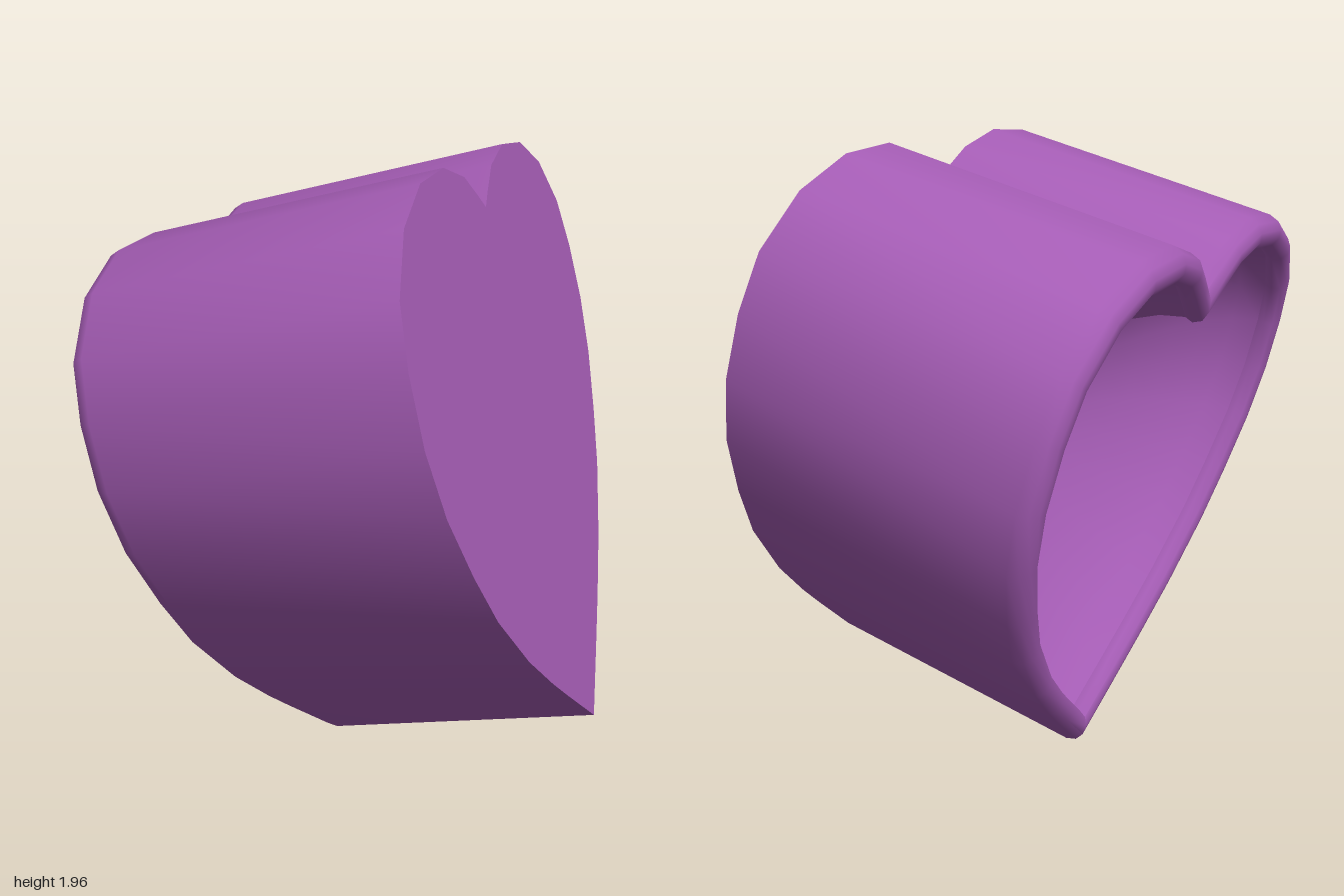
import * as THREE from 'three';
import { toCreasedNormals } from 'three/addons/utils/BufferGeometryUtils.js';

// Right half of the heart outline, from the bottom tip to just before the notch
const HALF = [
  [0.22, 0.185], [0.33, 0.28], [0.49, 0.43], [0.66, 0.63], [0.76, 0.80], [0.848, 0.99],
  [0.887, 1.18], [0.875, 1.37], [0.825, 1.535], [0.69, 1.685], [0.505, 1.77],
  [0.30, 1.785], [0.14, 1.74], [0.05, 1.675],
];
const CENTRE_Y = 0.95;

function heartOutline() {
  const right = HALF.map(([x, y]) => new THREE.Vector2(x, y));
  const left = HALF.map(([x, y]) => new THREE.Vector2(-x, y)).reverse();
  return [new THREE.Vector2(0, 0), ...right, new THREE.Vector2(0, 1.635), ...left];
}

// Moves every edge of a counter-clockwise outline inwards by d, with mitred corners
function inset(points, d) {
  const n = points.length;
  const normal = (a, b) => new THREE.Vector2(a.y - b.y, b.x - a.x).normalize();
  return points.map((p, i) => {
    const n1 = normal(points[(i + n - 1) % n], p);
    const n2 = normal(p, points[(i + 1) % n]);
    return n1.clone().add(n2).multiplyScalar(d / (1 + n1.dot(n2))).add(p);
  });
}

// Skin through heart-shaped rings given as [inset, depth, scale about the centre]
function loft(outline, rings) {
  const n = outline.length;
  const pos = [];
  const index = [];
  rings.forEach(([d, z, s = 1], k) => {
    inset(outline, d).forEach((p, j) => {
      pos.push(p.x * s, CENTRE_Y + (p.y - CENTRE_Y) * s, z);
      if (k + 1 === rings.length) return;
      const a = k * n + j;
      const b = k * n + (j + 1) % n;
      index.push(a, b, b + n, a, b + n, a + n);
    });
  });
  const geo = new THREE.BufferGeometry();
  geo.setAttribute('position', new THREE.Float32BufferAttribute(pos, 3));
  geo.setIndex(index);
  return toCreasedNormals(geo, 0.8);
}

export function createModel() {
  const model = new THREE.Group();
  const material = new THREE.MeshStandardMaterial({ color: 0xa45cb4 });
  const heart = new THREE.Group();
  heart.name = 'heartBowl';
  const add = (name, geometry) => {
    const mesh = new THREE.Mesh(geometry, material);
    mesh.name = name;
    heart.add(mesh);
  };
  const outline = heartOutline();

  // Outer wall and rounded rim in one skin
  add('wallAndRim', loft(outline, [
    [0, 0], [0, 0.91], [0.011, 0.943], [0.034, 0.961], [0.06, 0.965],
    [0.085, 0.952], [0.096, 0.925], [0.09, 0.9],
  ]));

  // Rounded hollow that narrows towards its bottom
  const hollow = [];
  const steps = 12;
  for (let i = 0; i <= steps; i++) {
    const t = Math.sin((i / steps) * Math.PI / 2);
    hollow.push([0.09, 0.9 - 0.6 * t, Math.pow(1 - Math.pow(t, 1.5), 0.83)]);
  }
  add('hollow', loft(outline, hollow));

  // Flat back
  const back = new THREE.ShapeGeometry(new THREE.Shape(outline));
  back.rotateY(Math.PI); // the outline is symmetric, so turning it keeps its shape
  add('back', back);

  // Tilt: the opening looks to the right and forward, the heart leans on its tip
  const axis = new THREE.Vector3(-0.882, -0.237, 0.409).normalize();
  const up = new THREE.Vector3(-0.203, 0.973, 0.127);
  const side = up.clone().cross(axis).normalize();
  up.copy(axis).cross(side);
  heart.quaternion.setFromRotationMatrix(new THREE.Matrix4().makeBasis(side, up, axis));
  heart.position.set(0.66, 0.22, -0.34);
  model.add(heart);
  return model;
}
